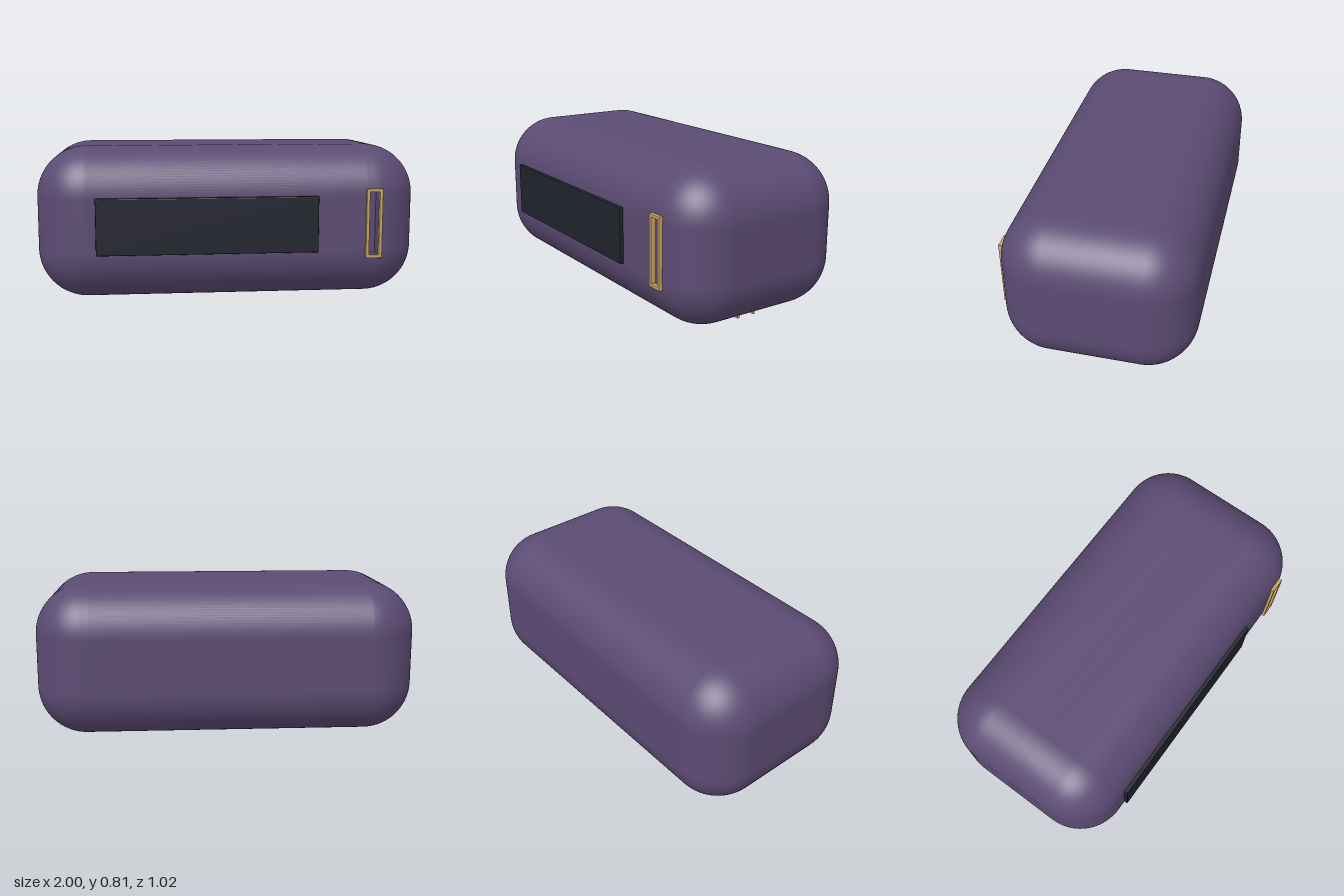
import * as THREE from 'three';

const purple = new THREE.MeshStandardMaterial({ color: 0x5b4b73 });
purple.name = 'plum shell';
const black = new THREE.MeshStandardMaterial({ color: 0x21232d });
black.name = 'dark glass';
const gold = new THREE.MeshStandardMaterial({ color: 0xc8a562 });
gold.name = 'brass trim';

const CENTRE = new THREE.Vector3(0, 0.411, -0.0095);
const HALF = [1, 0.3985, 0.4975];
const R = 0.26;

// Slots sunk into the shell: face axis and sign, range per axis (centre-relative)
const SLOTS = [
  { axis: 2, sign: 1, depth: 0.08, range: { 0: [0.706, 0.768], 1: [-0.165, 0.173] } },
  { axis: 1, sign: -1, depth: 0.08, range: { 0: [-0.8, 0.8], 2: [-0.0355, 0.0395] } },
];

// Grid lines along one axis: even angles round the corners, plus the slot edges
function gridLines(axis) {
  const core = HALF[axis] - R, steps = 14, set = [];
  for (let i = 0; i <= steps; i++) {
    const q = core + R * Math.tan((i / steps) * Math.PI / 4);
    set.push(q, -q);
  }
  for (const s of SLOTS) if (s.range[axis]) set.push(...s.range[axis]);
  return set.sort((a, b) => a - b);
}

// Rounded shell with the slots sunk into its faces
function shellGeometry() {
  const pos = [], nor = [];
  const lines = [0, 1, 2].map(gridLines);

  // Project a point of the box onto the rounded surface
  const project = (q) => {
    const inner = q.map((c, i) => THREE.MathUtils.clamp(c, R - HALF[i], HALF[i] - R));
    const n = new THREE.Vector3(...q.map((c, i) => c - inner[i])).normalize();
    return { p: new THREE.Vector3(...inner).addScaledVector(n, R).add(CENTRE), n };
  };
  const quad = (c, flat) => {
    for (const k of [0, 1, 2, 0, 2, 3]) {
      pos.push(...c[k].p.toArray());
      nor.push(...(flat || c[k].n).toArray());
    }
  };

  for (let axis = 0; axis < 3; axis++) for (const sign of [1, -1]) {
    const a1 = (axis + 1) % 3, a2 = (axis + 2) % 3;
    const [ua, va] = sign > 0 ? [a1, a2] : [a2, a1];
    const us = lines[ua], vs = lines[va];
    const out = new THREE.Vector3().setComponent(axis, sign);
    const slot = SLOTS.find((s) => s.axis === axis && s.sign === sign);
    const within = (ls, i, r) => i >= 0 && i < ls.length - 1 &&
      (ls[i] + ls[i + 1]) / 2 > r[0] && (ls[i] + ls[i + 1]) / 2 < r[1];
    const inSlot = (i, j) => slot && within(us, i, slot.range[ua]) && within(vs, j, slot.range[va]);
    const at = (i, j) => {
      const q = [0, 0, 0];
      q[axis] = sign * HALF[axis];
      q[ua] = us[i];
      q[va] = vs[j];
      return project(q);
    };

    for (let i = 0; i < us.length - 1; i++) for (let j = 0; j < vs.length - 1; j++) {
      const c = [at(i, j), at(i + 1, j), at(i + 1, j + 1), at(i, j + 1)];
      if (!inSlot(i, j)) { quad(c); continue; }
      // Slot floor, then a wall on every edge that borders the shell
      const low = c.map(({ p, n }) => ({ p: p.clone().addScaledVector(out, -slot.depth), n }));
      quad(low, out);
      [[0, -1], [1, 0], [0, 1], [-1, 0]].forEach(([di, dj], k) => {
        if (inSlot(i + di, j + dj)) return;
        const m = (k + 1) % 4;
        const along = c[m].p.clone().sub(c[k].p);
        quad([c[k], c[m], low[m], low[k]], out.clone().cross(along).normalize());
      });
    }
  }
  const g = new THREE.BufferGeometry();
  g.setAttribute('position', new THREE.Float32BufferAttribute(pos, 3));
  g.setAttribute('normal', new THREE.Float32BufferAttribute(nor, 3));
  return g;
}

function rectangle(PathType, x0, x1, y0, y1) {
  return new PathType([[x0, y0], [x1, y0], [x1, y1], [x0, y1]].map((p) => new THREE.Vector2(...p)));
}

export function createModel() {
  const model = new THREE.Group();
  model.name = 'roundedUnit';
  const add = (name, geometry, material, x = 0, y = 0, z = 0) => {
    const mesh = new THREE.Mesh(geometry, material);
    mesh.name = name;
    mesh.position.set(x, y, z);
    model.add(mesh);
  };

  add('shell', shellGeometry(), purple);

  // Dark front display with a fine bevel
  const b = 0.005;
  const panel = new THREE.ExtrudeGeometry(rectangle(THREE.Shape, -0.69 + b, 0.445 - b, 0.27 + b, 0.56 - b), {
    depth: 0.018, bevelSize: b, bevelThickness: b, bevelSegments: 2,
  });
  add('displayPanel', panel, black, 0, 0, 0.485);

  // Brass frame round the front slot
  const t = 0.003;
  const outline = rectangle(THREE.Shape, 0.695 + t, 0.78 - t, 0.234 + t, 0.595 - t);
  outline.holes.push(rectangle(THREE.Path, 0.712 - t, 0.763 + t, 0.251 - t, 0.578 + t));
  const frame = new THREE.ExtrudeGeometry(outline, {
    depth: 0.018, bevelSize: t, bevelThickness: t, bevelSegments: 2,
  });
  add('slotFrame', frame, gold, 0, 0, 0.482);

  // Brass rails along the underside slot
  for (const z of [0.043, -0.057]) {
    add('bottomRail', new THREE.BoxGeometry(1.62, 0.016, 0.012), gold, 0, 0.008, z);
  }
  return model;
}
